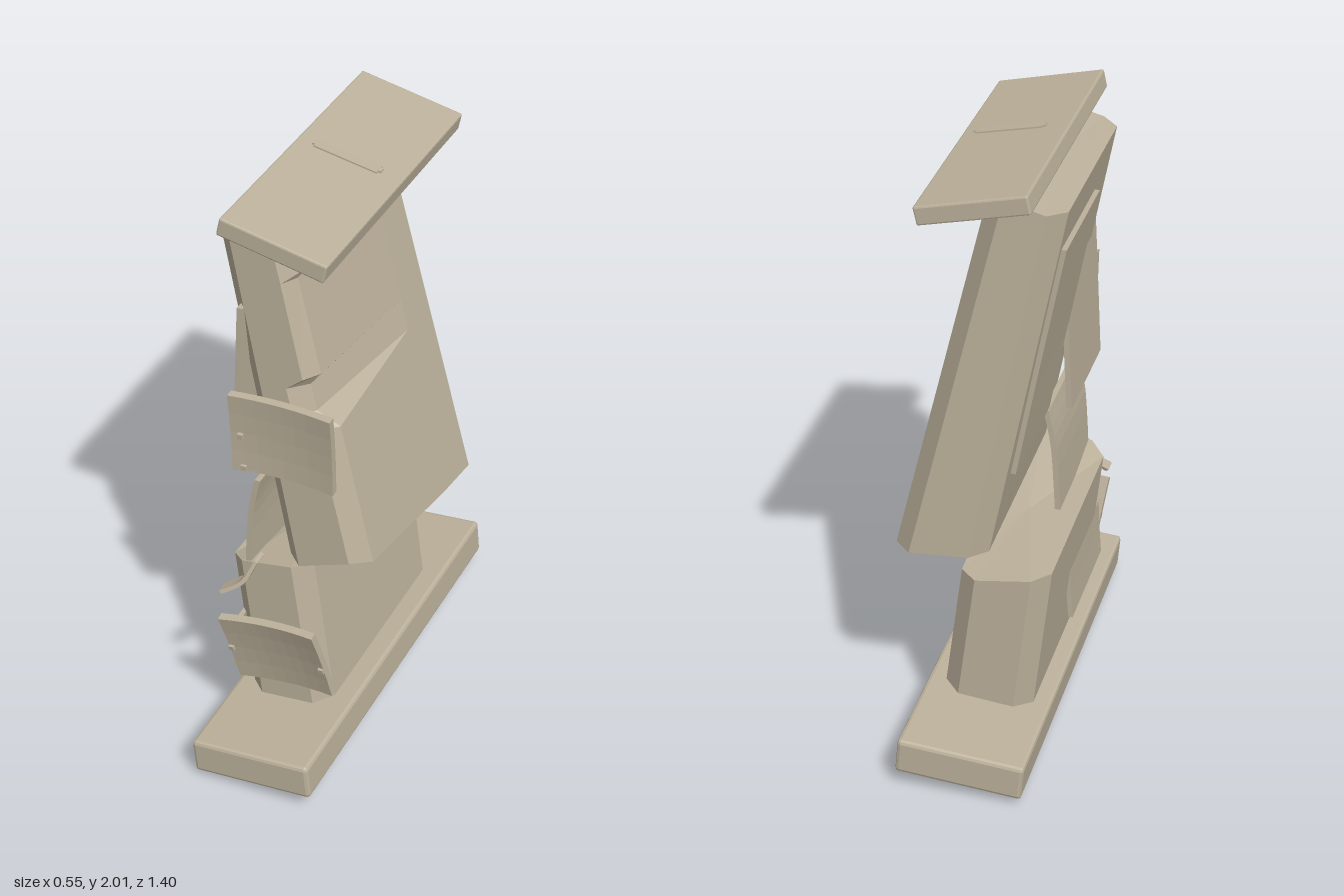
import * as THREE from 'three';
import { RoundedBoxGeometry } from 'three/addons/geometries/RoundedBoxGeometry.js';

export function createModel() {
  const model = new THREE.Group();
  const stone = new THREE.MeshStandardMaterial({ color: 0xbcb19b });
  stone.name = 'stone';

  function add(name, geometry, pos = [0, 0, 0], rot = [0, 0, 0]) {
    const flat = geometry.index ? geometry.toNonIndexed() : geometry;
    flat.computeVertexNormals();
    const mesh = new THREE.Mesh(flat, stone);
    mesh.name = name;
    mesh.position.set(...pos);
    mesh.rotation.set(...rot);
    model.add(mesh);
    return mesh;
  }

  // Skin closed rings (counter-clockwise from above, bottom to top) and cap both ends
  function loft(rings) {
    const out = [];
    const tri = (a, b, c) => out.push(...a, ...b, ...c);
    const n = rings[0].length;
    const centre = r => [0, 1, 2].map(k => r.reduce((s, p) => s + p[k], 0) / n);
    const low = rings[0], high = rings[rings.length - 1];
    for (let i = 0; i < n; i++) {
      const j = (i + 1) % n;
      for (let k = 0; k < rings.length - 1; k++) {
        const a = rings[k], b = rings[k + 1];
        tri(a[i], a[j], b[j]);
        tri(a[i], b[j], b[i]);
      }
      tri(centre(low), low[j], low[i]);
      tri(centre(high), high[i], high[j]);
    }
    const g = new THREE.BufferGeometry();
    g.setAttribute('position', new THREE.Float32BufferAttribute(out, 3));
    return g;
  }

  // Chamfered leaning block ring; ys gives the height of each of its nine corners,
  // cut and chip push the front right corners inwards
  function ring(ys, xl, xr, zf, zb, cut = 0, chip = 0) {
    const c = 0.055;
    return ys.map((y, i) => {
      const l = xl(y), r = xr(y), f = zf(y), b = zb(y);
      const x = [l + c, r - c - cut, r - cut - chip, r, r, r - c, l + c, l, l][i];
      const z = [f, f, f - c, -0.17, b + c, b, b, b + c, f - c][i];
      return [x, y, z];
    });
  }

  // Lower stub with a sloping broken top
  const stubSides = [
    y => -0.17 - 0.115 * (y - 0.16), y => 0.12 - 0.13 * (y - 0.19),
    () => 0.41, () => -0.41,
  ];
  add('lowerBlock', loft([
    [0.16, 0.18, 0.19, 0.19, 0.19, 0.18, 0.16, 0.15, 0.15],
    [0.69, 0.72, 0.715, 0.64, 0.62, 0.62, 0.645, 0.65, 0.665],
  ].map(ys => ring(ys, ...stubSides))));

  // Leaning upper block, with a wedge notch and a worn edge on its +x side
  const blockSides = [
    y => -0.03 - 0.197 * (y - 0.73), y => 0.25 - 0.24 * (y - 0.8),
    y => 0.41 - 0.02 * (y - 0.7), y => -0.41 + 0.04 * (y - 0.7),
  ];
  const level = (front, mid, rest) => [rest, front, front, mid, rest, rest, rest, rest, rest];
  add('upperBlock', loft([
    [[0.735, 0.80, 0.79, 0.71, 0.69, 0.69, 0.70, 0.70, 0.73]],
    [level(1.265, 1.295, 1.28)],
    [level(1.30, 1.30, 1.30), 0.07],
    [level(1.39, 1.40, 1.40), 0.07],
    [level(1.435, 1.405, 1.42), 0.005, 0.02],
    [level(1.75, 1.76, 1.76), 0, 0.025],
    [level(1.78, 1.78, 1.78)],
    [[1.875, 1.91, 1.91, 1.91, 1.91, 1.91, 1.875, 1.87, 1.87]],
  ].map(([ys, cut, chip]) => ring(ys, ...blockSides, cut, chip))));

  // Base and cap slabs with small bevels
  add('baseSlab', new RoundedBoxGeometry(0.41, 0.12, 1.4, 1, 0.012), [-0.015, 0.1, 0], [0, 0, 0.09]);
  add('capSlab', new RoundedBoxGeometry(0.348, 0.06, 0.975, 1, 0.006), [-0.012, 1.925, 0], [0, 0, -0.215]);
  add('capStrip', new THREE.BoxGeometry(0.21, 0.005, 0.04), [0, 1.979, -0.003], [0, 0, -0.2]);
  [-1, 1].forEach(s => add('capStripEnd', new THREE.BoxGeometry(0.014, 0.006, 0.02),
    [s * 0.105, 1.979 - s * 0.0205, -0.003], [0, 0, -0.2]));

  // Low studs under the base
  [[-0.03, 0.16, 0.045], [0, -0.01, 0.04], [0.02, -0.13, 0.025]].forEach(([x, z, r]) =>
    add('baseStud', new THREE.CylinderGeometry(r, r * 0.6, 0.04, 10), [x, 0.021 + (0.045 - r) * 0.5, z], [0, 0, 0.09]));

  // Slightly hollow front plates, each with small rivets
  function frontPlate(name, h, pos, rot, rivets) {
    const g = new THREE.BoxGeometry(0.338, h, 0.026, 8, 4, 1);
    const p = g.attributes.position;
    for (let i = 0; i < p.count; i++) {
      const u = p.getX(i) / 0.169, v = p.getY(i) / (h / 2);
      p.setZ(i, p.getZ(i) + 0.012 * u * u + 0.005 * v * v - 0.006);
    }
    const plate = add(name, g, pos, rot);
    rivets.forEach(([x, y]) => {
      const rivet = add(name + 'Rivet', new THREE.BoxGeometry(0.018, 0.018, 0.012), [x, y, 0.021]);
      plate.add(rivet);
    });
  }
  frontPlate('upperFrontPlate', 0.283, [-0.005, 1.23, 0.442], [0.07, 0, 0],
    [[-0.135, -0.008], [-0.13, -0.13]]);
  frontPlate('lowerFrontPlate', 0.285, [-0.035, 0.39, 0.447], [0.24, 0, 0.135],
    [[-0.16, 0.0], [0.16, -0.02]]);

  // Thin curved plates on the -x side: a path in x and y, thickened and run along z
  function sidePlate(name, path, dx, dy, z0, z1) {
    const curve = new THREE.SplineCurve(path.map(p => new THREE.Vector2(...p)));
    const pts = curve.getPoints(8);
    const back = pts.map(p => new THREE.Vector2(p.x + dx, p.y + dy)).reverse();
    const g = new THREE.ExtrudeGeometry(new THREE.Shape([...pts, ...back]),
      { depth: z1 - z0, bevelEnabled: false });
    return add(name, g, [0, 0, z0]);
  }
  sidePlate('rearSidePlate', [[-0.275, 1.8], [-0.2, 1.42], [-0.125, 1.03]], 0.016, 0, -0.415, 0.01);
  sidePlate('middleSidePlate', [[-0.17, 1.64], [-0.185, 1.35], [-0.2, 1.04]], 0.018, 0, 0, 0.405);
  sidePlate('lowerSidePlate', [[-0.125, 1.02], [-0.152, 0.88], [-0.168, 0.62]], 0.018, 0, 0, 0.405);
  sidePlate('bottomSidePlate', [[-0.2, 0.45], [-0.205, 0.35], [-0.212, 0.25]], 0.015, 0, 0, 0.42);

  // Curled shard at the front corner, sheared forwards as it drops
  const shard = sidePlate('curledShard', [[-0.12, 0.70], [-0.155, 0.625], [-0.225, 0.575]], -0.01, 0.008, 0, 0.05);
  const sp = shard.geometry.attributes.position;
  for (let i = 0; i < sp.count; i++) sp.setZ(i, sp.getZ(i) + 0.365 + (0.7 - sp.getY(i)) * 0.38);
  shard.geometry.computeVertexNormals();

  return model;
}
